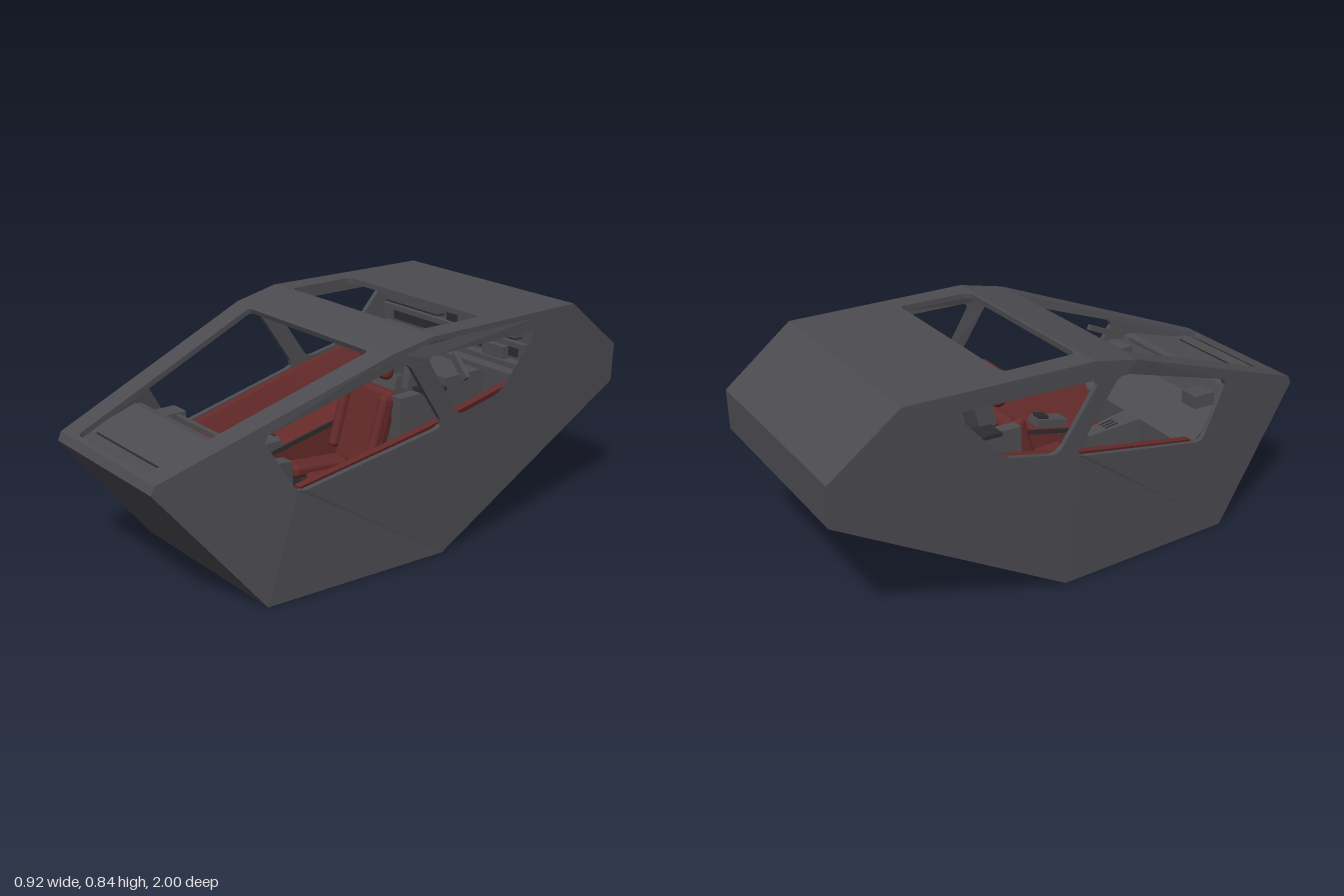
import * as THREE from 'three';
import { RoundedBoxGeometry } from 'three/addons/geometries/RoundedBoxGeometry.js';

const V2 = (x, y) => new THREE.Vector2(x, y);

// Closed outline with rounded corners
function roundedPath(pts, r) {
  const path = new THREE.Path();
  const n = pts.length;
  pts.forEach((p, i) => {
    const prev = pts[(i + n - 1) % n], next = pts[(i + 1) % n];
    const toward = (q) => p.clone().add(q.clone().sub(p).setLength(Math.min(r, q.distanceTo(p) * 0.45)));
    const a = toward(prev), b = toward(next);
    if (i === 0) path.moveTo(a.x, a.y); else path.lineTo(a.x, a.y);
    path.quadraticCurveTo(p.x, p.y, b.x, b.y);
  });
  path.closePath();
  return path;
}

// Hull half-width: three flat facets meeting in creases, as a function of (z, y)
function facet([z0, y0, w0], [z1, y1, w1], [z2, y2, w2]) {
  const d = (z1 - z0) * (y2 - y0) - (z2 - z0) * (y1 - y0);
  const b = ((w1 - w0) * (y2 - y0) - (w2 - w0) * (y1 - y0)) / d;
  const c = ((z1 - z0) * (w2 - w0) - (z2 - z0) * (w1 - w0)) / d;
  return (z, y) => w0 + b * (z - z0) + c * (y - y0);
}
const brow = [0.15, 0.805, 0.45], keelFront = [0.62, 0, 0.385], keelBack = [-0.12, 0, 0.435];
const facets = [
  facet(brow, keelFront, [1, 0.48, 0.31]),
  facet(brow, keelBack, keelFront),
  facet(keelBack, [-0.03, 0.84, 0.46], [-1, 0.55, 0.435]),
];
const halfWidth = (z, y) => Math.min(...facets.map((f) => f(z, y)));

// Side profile (z, y): up the nose, back over the roof, down the tail, along the belly
const PROFILE = [[1, 0.48], [0.985, 0.51], [0.15, 0.805], [-0.03, 0.84], [-0.74, 0.835],
  [-1, 0.63], [-1, 0.48], [-0.12, 0], [0.62, 0]];
const PANEL_NAMES = ['noseLip', 'windscreenFrame', 'browPanel', 'roof', 'rearSlope',
  'tail', 'rearBelly', 'belly', 'nose'];

// Side wall facets (z, y), joined at three corners of the front window
const lowFront = [0.498, 0.395], lowBack = [-0.086, 0.505], topBack = [0.08, 0.758];
const WALL_FACETS = {
  NoseWall: [[1, 0.48], [0.985, 0.51], [0.15, 0.805], topBack, [0.115, 0.76], [0.602, 0.606],
    [0.612, 0.582], [0.515, 0.415], lowFront, [0.62, 0]],
  LowerWall: [[0.62, 0], lowFront, [0.47, 0.392], [-0.06, 0.494], lowBack, [-0.12, 0]],
  RearWall: [[-0.12, 0], lowBack, [-0.08, 0.53], [0.06, 0.742], topBack, [0.15, 0.805],
    [-0.03, 0.84], [-0.74, 0.835], [-1, 0.63], [-1, 0.48]],
};
const REAR_WINDOW = [[-0.005, 0.77], [-0.56, 0.77], [-0.37, 0.565], [-0.165, 0.525]];
const SKIN = 0.02;

export function createModel() {
  const root = new THREE.Group();
  const material = (name, color) => {
    const m = new THREE.MeshStandardMaterial({ color });
    m.name = name;
    return m;
  };
  const hull = material('hullGrey', 0x4c4b50);
  const trim = material('trimGrey', 0x4d4d50);
  const dark = material('darkGrey', 0x2c2c2e);
  const red = material('upholsteryRed', 0x652a2a);

  const add = (name, geo, mat, parent = root) => {
    const mesh = new THREE.Mesh(geo, mat);
    mesh.name = name;
    parent.add(mesh);
    return mesh;
  };
  const box = (name, mat, [w, h, d], [x, y, z], tilt = 0, parent = root) => {
    const m = add(name, new THREE.BoxGeometry(w, h, d), mat, parent);
    m.position.set(x, y, z);
    m.rotation.x = tilt;
    return m;
  };
  const cushion = (name, [w, h, d], [x, y, z], r, tilt = 0) => {
    const m = add(name, new RoundedBoxGeometry(w, h, d, 3, r), red);
    m.position.set(x, y, z);
    m.rotation.x = tilt;
    return m;
  };

  // Moves each vertex by a rule, then makes flat normals
  const reshape = (geo, rule) => {
    const p = geo.attributes.position;
    for (let i = 0; i < p.count; i++) p.setXYZ(i, ...rule(p.getX(i), p.getY(i), p.getZ(i)));
    geo.computeVertexNormals();
    return geo;
  };

  // Side walls; the front window is the gap between the facets
  for (const s of [1, -1]) {
    const pts = (list) => list.map(([z, y]) => V2(-s * z, y));
    for (const [name, outline] of Object.entries(WALL_FACETS)) {
      const shape = new THREE.Shape(pts(outline));
      if (name === 'RearWall') shape.holes.push(roundedPath(pts(REAR_WINDOW), 0.035));
      const geo = new THREE.ExtrudeGeometry(shape, { depth: SKIN, bevelEnabled: false, curveSegments: 5 });
      reshape(geo, (u, y, d) => [s * (halfWidth(-s * u, y) - SKIN + d), y, -s * u]);
      add((s > 0 ? 'left' : 'right') + name, geo, hull);
    }
  }

  // Panels around the profile, two of them with openings
  PROFILE.forEach((a, i) => {
    const b = PROFILE[(i + 1) % PROFILE.length];
    const along = new THREE.Vector3(0, b[1] - a[1], b[0] - a[0]);
    const len = along.length();
    along.normalize();
    const wa = halfWidth(...a), wb = halfWidth(...b);
    const shape = new THREE.Shape([V2(-wa, 0), V2(wa, 0), V2(wb, len), V2(-wb, len)]);
    const at = (z) => ((z - a[0]) / (b[0] - a[0])) * len;
    const opening = (z0, x0, z1, x1, r) => shape.holes.push(
      roundedPath([V2(-x0, at(z0)), V2(x0, at(z0)), V2(x1, at(z1)), V2(-x1, at(z1))], r));
    if (i === 1) opening(0.965, 0.225, 0.165, 0.352, 0.02);
    if (i === 3) opening(-0.045, 0.365, -0.335, 0.37, 0.03);
    const geo = new THREE.ExtrudeGeometry(shape, { depth: SKIN, bevelEnabled: false, curveSegments: 5 });
    const xAxis = new THREE.Vector3(1, 0, 0);
    const normal = xAxis.clone().cross(along);
    geo.translate(0, 0, -SKIN);
    geo.applyMatrix4(new THREE.Matrix4().makeBasis(xAxis, along, normal).setPosition(0, a[1], a[0]));
    add(PANEL_NAMES[i], geo, hull);
  });

  // Cabin floor
  box('floor', trim, [0.72, 0.02, 0.75], [0, 0.13, 0.15]);

  // Dashboard: profile extruded across the cabin and tapered toward the nose
  const dash = new THREE.Shape([[-0.47, 0.12], [-0.47, 0.35], [-0.63, 0.46], [-0.66, 0.54], [-0.69, 0.545],
    [-0.88, 0.5], [-0.95, 0.495], [-0.95, 0.45], [-0.7, 0.12]].map((p) => V2(...p)));
  add('dashboard', reshape(
    new THREE.ExtrudeGeometry(dash, { depth: 2, bevelEnabled: false }),
    (u, y, d) => [(d - 1) * (0.355 - 0.16 * (-u - 0.47)), y, -u]), trim);
  box('dashStrip', dark, [0.48, 0.006, 0.006], [0, 0.5, 0.885]);
  box('dashPipe', trim, [0.36, 0.014, 0.018], [0.08, 0.547, 0.645]);
  box('dashBox', trim, [0.08, 0.05, 0.09], [-0.25, 0.49, 0.59]);

  // Centre pedestal, narrower at its rear top
  add('pedestal', reshape(new THREE.BoxGeometry(0.1, 0.18, 0.22), (x, y, z) =>
    [x * (z < 0 ? 0.55 : 1), y + 0.23 + (z > 0 ? 0.03 : 0), z + 0.36]), trim);
  for (const x of [-0.018, 0, 0.018]) box('pedestalSlot', dark, [0.006, 0.01, 0.06], [x, 0.332, 0.36], -0.14);

  for (const s of [1, -1]) {
    const side = new THREE.Group();
    side.name = s > 0 ? 'leftCabinSide' : 'rightCabinSide';
    root.add(side);

    // Red console rising along the window sills
    const section = new THREE.Shape([[0.17, -0.3], [0.33, -0.3], [0.415, 0], [0.385, 0],
      [0.31, -0.15], [0.17, -0.18]].map(([x, y]) => V2(s * x, y)));
    add('sideConsole', reshape(
      new THREE.ExtrudeGeometry(section, { depth: 1.02, steps: 6, bevelEnabled: false }),
      (x, y, d) => {
        const z = d - 0.55;
        const squeeze = Math.abs(x) > 0.3 ? 0.1 * Math.max(0, z) : 0;
        return [x - s * squeeze, y + 0.485 - 0.2 * z, z];
      }), red, side);

    // Control units on the console
    box('controlBase', trim, [0.07, 0.03, 0.14], [s * 0.22, 0.3, 0.22], 0.2, side);
    box('controlPad', dark, [0.045, 0.03, 0.045], [s * 0.22, 0.32, 0.185], 0.2, side);
    box('consoleRail', dark, [0.008, 0.02, 0.6], [s * 0.175, 0.29, 0.12], 0.2, side);

    // Rear equipment: lockers, recess, inner boxes
    box('upperLocker', trim, [0.31, 0.07, 0.04], [s * 0.21, 0.755, -0.545], 0, side);
    box('lockerLip', dark, [0.31, 0.006, 0.045], [s * 0.21, 0.717, -0.545], 0, side);
    box('darkRecess', dark, [0.3, 0.035, 0.008], [s * 0.2, 0.655, -0.557], 0, side);
    box('rearUnit', trim, [0.05, 0.27, 0.2], [s * 0.145, 0.38, -0.24], 0, side);
    box('rearUnitTop', dark, [0.09, 0.015, 0.1], [s * 0.16, 0.523, -0.29], 0, side);

    // Seat post with pivot and diagonal brace
    box('seatPost', trim, [0.035, 0.2, 0.07], [s * 0.105, 0.615, -0.27], -0.22, side);
    const pivot = add('seatPivot', new THREE.CylinderGeometry(0.022, 0.022, 0.02, 16), dark, side);
    pivot.rotation.z = Math.PI / 2;
    pivot.position.set(s * 0.128, 0.655, -0.285);
    const brace = box('seatBrace', trim, [0.03, 0.11, 0.02], [s * 0.155, 0.575, -0.45], 0, side);
    brace.rotation.z = s * 0.75;
  }

  // Rear bulkhead and ribs
  box('bulkhead', hull, [0.84, 0.53, 0.02], [0, 0.55, -0.57]);
  [0.69, 0.615, 0.58].forEach((y, i) => box('bulkheadRib', trim, [0.8, 0.02, 0.03 + i * 0.02], [0, y, -0.55 + i * 0.01]));
  box('rearShelf', trim, [0.34, 0.24, 0.2], [0, 0.43, -0.46]);
  box('bulkheadSpine', dark, [0.07, 0.18, 0.01], [0, 0.72, -0.556]);
  box('rearMonitor', trim, [0.11, 0.055, 0.03], [0.25, 0.645, -0.54]);

  // Pilot seat
  cushion('headrest', [0.162, 0.145, 0.055], [0, 0.628, -0.168], 0.027);
  for (const x of [-0.026, 0.022]) box('headrestSeam', dark, [0.003, 0.13, 0.004], [x, 0.628, -0.14]);
  box('headrestBack', trim, [0.15, 0.125, 0.13], [0, 0.64, -0.243]);
  box('seatSpine', trim, [0.13, 0.3, 0.05], [0, 0.41, -0.2], -0.25);
  cushion('backrest', [0.23, 0.32, 0.06], [0, 0.37, -0.115], 0.025, -0.3);
  for (const s of [1, -1]) {
    cushion('thighPad', [0.09, 0.05, 0.26], [s * 0.07, 0.23, 0.07], 0.02, -0.1);
    cushion('backBolster', [0.04, 0.26, 0.06], [s * 0.11, 0.39, -0.09], 0.018, -0.3);
  }
  box('seatBase', dark, [0.2, 0.08, 0.26], [0, 0.17, 0.04]);

  // Instruments beside the dashboard
  box('sideDisplay', trim, [0.1, 0.025, 0.12], [0.25, 0.53, 0.55]);
  box('sideDisplayFace', trim, [0.09, 0.07, 0.03], [0.24, 0.45, 0.53], 0.5);
  box('sideDisplayArm', dark, [0.02, 0.12, 0.02], [0.25, 0.48, 0.57], -0.3);
  box('controlStick', trim, [0.02, 0.02, 0.15], [0.28, 0.6, 0.52], 0.4);

  return root;
}
